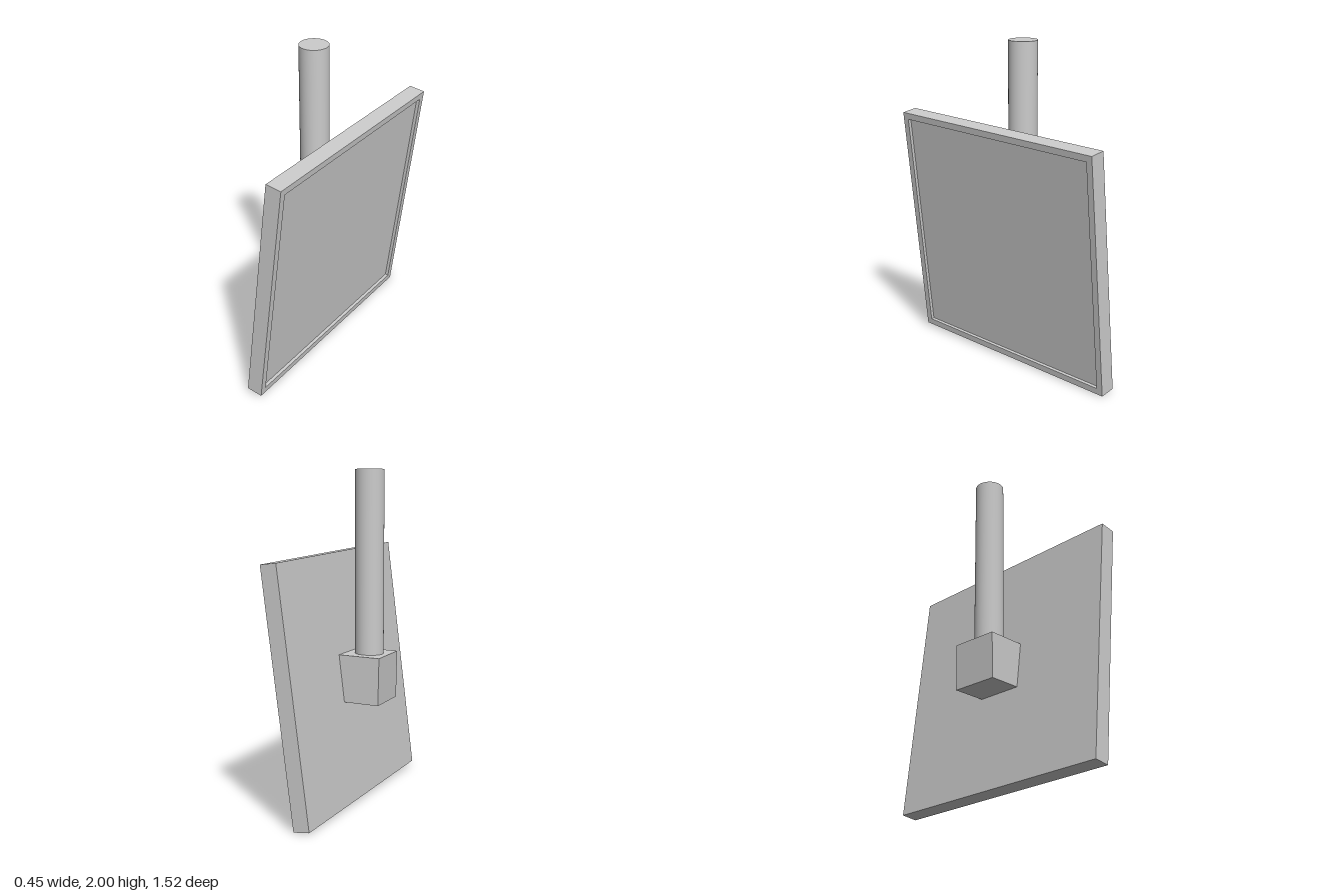
import * as THREE from 'three';

export function createModel() {
  const root = new THREE.Group();
  root.name = 'panelOnPole';
  const material = new THREE.MeshStandardMaterial({ color: 0xcccccc });
  const add = (parent, name, geometry, x, y, z) => {
    const mesh = new THREE.Mesh(geometry, material);
    mesh.name = name;
    mesh.position.set(x, y, z);
    parent.add(mesh);
    return mesh;
  };

  // Upright pole and the mounting block below it
  add(root, 'pole', new THREE.CylinderGeometry(0.087, 0.087, 1.12, 64), -0.1, 1.44, 0);
  const block = add(root, 'mountingBlock', new THREE.BoxGeometry(0.26, 0.285, 0.29), -0.092, 0.763, -0.003);
  block.rotation.z = 0.02;

  // Tilted panel: local x is its facing direction, y its height, z its width
  const panel = new THREE.Group();
  panel.name = 'panel';
  const up = new THREE.Vector3(0.18, 1.489, -0.015).normalize();
  const normal = up.clone().cross(new THREE.Vector3(-0.042, 0.02, 1.5)).normalize();
  const across = normal.clone().cross(up);
  panel.quaternion.setFromRotationMatrix(new THREE.Matrix4().makeBasis(normal, up, across));
  panel.position.set(0.06, 0.76, 0);
  root.add(panel);

  const size = 1.5, inner = 1.42, thickness = 0.1, recess = 0.02;
  add(panel, 'backPlate', new THREE.BoxGeometry(thickness - recess, size, size), -recess / 2, 0, 0);

  // Raised rim around the recessed face
  const square = (ShapeType, s) => new ShapeType([[-1, -1], [1, -1], [1, 1], [-1, 1]]
    .map(([x, y]) => new THREE.Vector2(x * s / 2, y * s / 2)));
  const rim = square(THREE.Shape, size);
  rim.holes.push(square(THREE.Path, inner));
  const rimGeometry = new THREE.ExtrudeGeometry(rim, { depth: recess, bevelEnabled: false });
  rimGeometry.rotateY(Math.PI / 2);
  add(panel, 'rim', rimGeometry, thickness / 2 - recess, 0, 0);

  return root;
}
